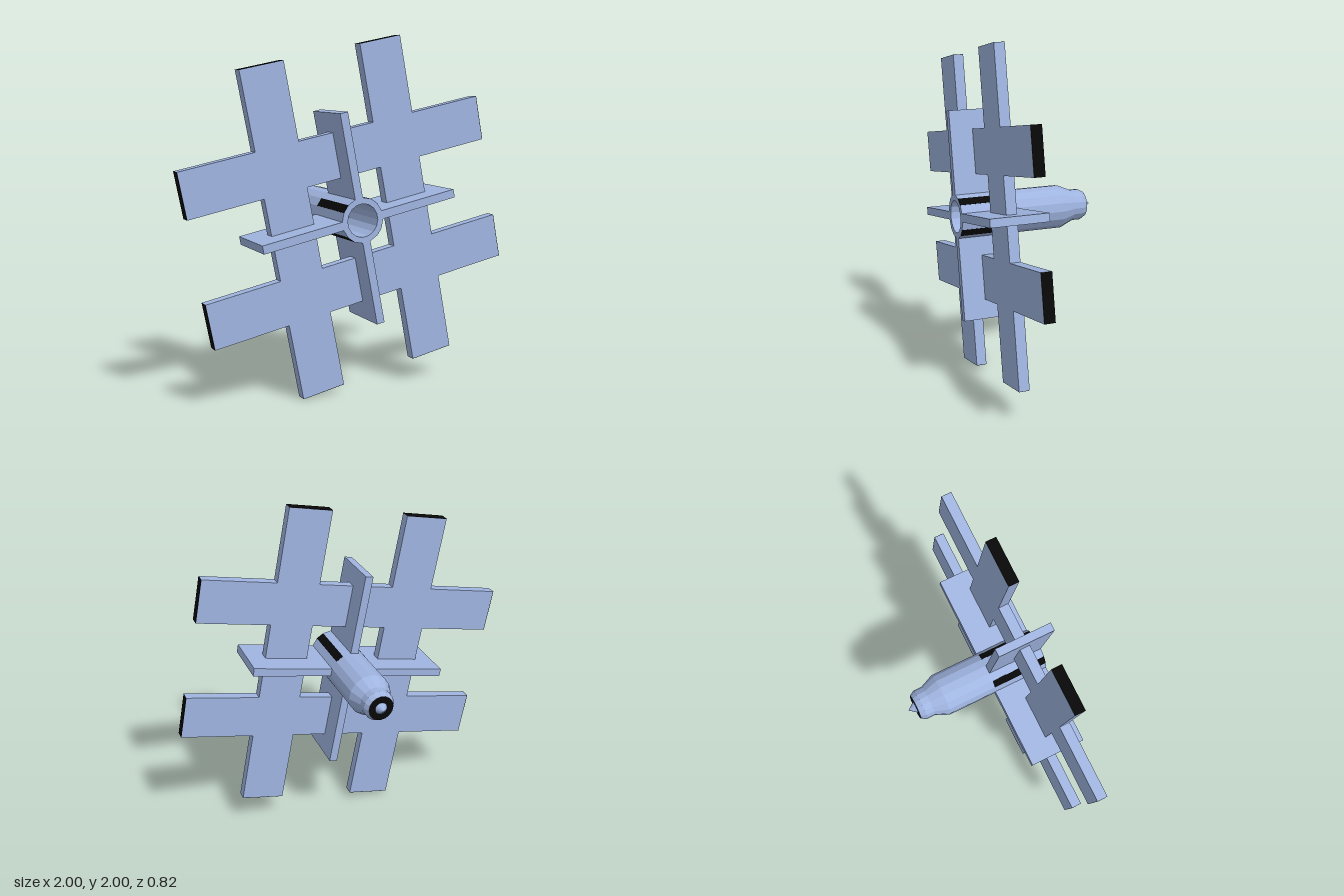
import * as THREE from 'three';

export function createModel() {
  const blue = new THREE.MeshStandardMaterial({ color: 0x9fb4e0, flatShading: true });
  const black = new THREE.MeshStandardMaterial({ color: 0x080808, flatShading: true });
  const model = new THREE.Group();

  const add = (parent, name, geometry, material, x = 0, y = 0, z = 0) => {
    const mesh = new THREE.Mesh(geometry, material);
    mesh.name = name;
    mesh.position.set(x, y, z);
    parent.add(mesh);
    return mesh;
  };

  // Hull: pointed tail, tapered rear, straight barrel and an open front socket
  const profile = [
    [0, -0.415], [0.035, -0.37], [0.073, -0.37], [0.09, -0.34], [0.09, -0.29],
    [0.125, -0.21], [0.125, 0.41], [0.092, 0.41], [0.092, 0.08], [0, 0.08],
  ].map(([r, z]) => new THREE.Vector2(r, z));
  const hull = add(model, 'hull', new THREE.LatheGeometry(profile, 16), blue, 0, 1, 0);
  hull.rotation.x = Math.PI / 2;

  // Dark ring around the tail cone
  const tailRing = add(model, 'tailRing', new THREE.RingGeometry(0.035, 0.073, 16), black, 0, 1, -0.371);
  tailRing.rotation.y = Math.PI;

  // Cross-shaped panel in one quadrant, its inner arms meeting the fins
  const near = 0.02, a = 0.23, b = 0.485, far = 0.92;
  const outline = [
    [a, near], [b, near], [b, a], [far, a], [far, b], [b, b],
    [b, far], [a, far], [a, b], [near, b], [near, a], [a, a],
  ].map(([x, y]) => new THREE.Vector2(x, y));
  const panelGeometry = new THREE.ExtrudeGeometry(new THREE.Shape(outline), { depth: 0.06, bevelEnabled: false });
  const finGeometry = new THREE.BoxGeometry(0.485, 0.047, 0.33);
  const capGeometry = new THREE.BoxGeometry(0.002, b - a, 0.06);
  const stripGeometry = new THREE.BoxGeometry(0.002, 0.0488, 0.33);

  // Four identical quadrants, tilted a little about the hull axis
  for (let i = 0; i < 4; i++) {
    const quadrant = new THREE.Group();
    quadrant.name = 'quadrant' + (i + 1);
    quadrant.position.y = 1;
    quadrant.rotation.z = Math.PI / 16 + (i * Math.PI) / 2;
    add(quadrant, 'panel', panelGeometry, blue, 0, 0, 0.22);
    add(quadrant, 'fin', finGeometry, blue, 0.3525, 0, 0.245);
    add(quadrant, 'sideCap', capGeometry, black, far, (a + b) / 2, 0.25);
    add(quadrant, 'topCap', capGeometry, black, (a + b) / 2, far, 0.25).rotation.z = Math.PI / 2;
    // Dark strip on the hull facet between two fins
    const r = 0.125 * Math.cos(Math.PI / 16) * Math.SQRT1_2;
    add(quadrant, 'hullStrip', stripGeometry, black, r, r, 0.245).rotation.z = Math.PI / 4;
    model.add(quadrant);
  }
  return model;
}
